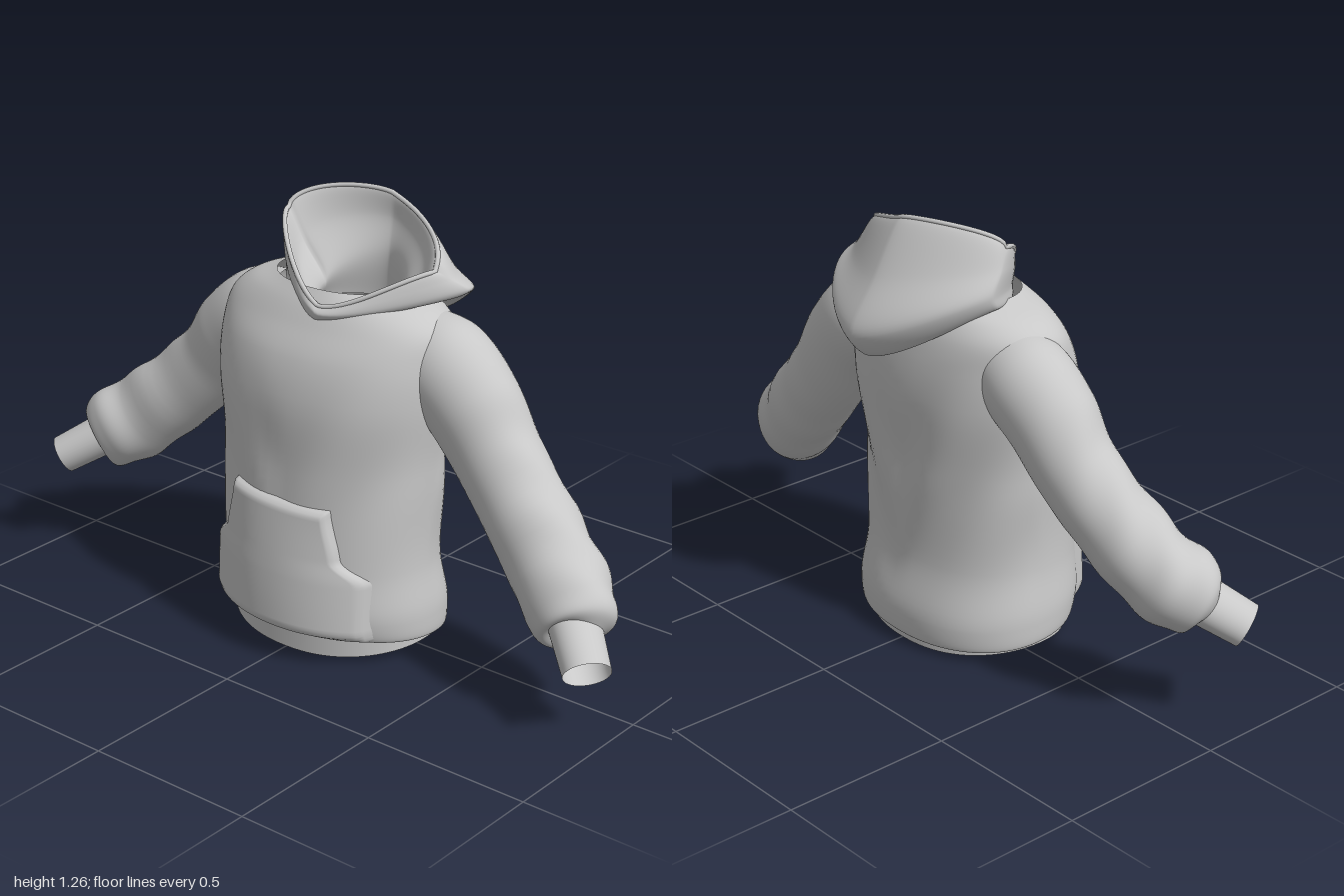
import * as THREE from 'three';

const { lerp, smoothstep } = THREE.MathUtils;
const fabric = new THREE.MeshStandardMaterial({ color: 0xc8c8c8, side: THREE.DoubleSide });
fabric.name = 'grey fabric';

// Indexed surface from rows of points; wrap joins each row into a loop
function surface(rows, wrap) {
  const n = rows[0].length, idx = [];
  for (let j = 0; j < rows.length - 1; j++) {
    for (let i = 0; i < (wrap ? n : n - 1); i++) {
      const k = (i + 1) % n, a = j * n + i, b = j * n + k;
      idx.push(a, b, b + n, a, b + n, a + n);
    }
  }
  const g = new THREE.BufferGeometry().setFromPoints(rows.flat());
  g.setIndex(idx);
  g.computeVertexNormals();
  return g;
}

// Loop of points from a rule taking the sine and cosine of the angle
function loop(rule, n = 80) {
  return Array.from({ length: n }, (_, i) => {
    const t = i / n * Math.PI * 2;
    return rule(Math.sin(t), Math.cos(t));
  });
}

// Smooth skin through closed cross-sections
function loft(rings, steps) {
  const cols = rings[0].map((_, i) => new THREE.CatmullRomCurve3(rings.map(r => r[i])).getPoints(steps));
  return surface(Array.from({ length: steps + 1 }, (_, j) => cols.map(c => c[j])), true);
}

// Push the skin along its normals to make soft folds
function fold(g, depth) {
  const p = g.attributes.position, n = g.attributes.normal;
  const v = new THREE.Vector3(), d = new THREE.Vector3();
  for (let i = 0; i < p.count; i++) {
    v.fromBufferAttribute(p, i);
    d.fromBufferAttribute(n, i);
    v.addScaledVector(d, depth(v));
    p.setXYZ(i, v.x, v.y, v.z);
  }
  g.computeVertexNormals();
  return g;
}

function part(group, name, geometry) {
  const m = new THREE.Mesh(geometry, fabric);
  m.name = name;
  group.add(m);
}

// Signed power: below 1 squares a loop off, above 1 pinches it to a diamond
const power = (v, e) => Math.sign(v) * Math.abs(v) ** e;

// Torso sections from the tucked hem to the neck: height, half width, front z, back z
const body = [
  [0.075, 0.315, 0.25, -0.215], [0.05, 0.335, 0.265, -0.23], [0.12, 0.342, 0.29, -0.24],
  [0.27, 0.328, 0.285, -0.21], [0.55, 0.335, 0.272, -0.217], [0.75, 0.362, 0.265, -0.23],
  [0.87, 0.365, 0.235, -0.222], [0.95, 0.355, 0.19, -0.205], [1.0, 0.3, 0.16, -0.185], [1.04, 0.2, 0.13, -0.165],
];
const bodyX = -0.008, square = 0.92;

// The blouse over the hem hangs lower at the back; lift raises a loop at the sides
function torsoRing([y, half, front, back], tilt, lift = 0) {
  return loop((s, c) => {
    const z = lerp(back, front, (1 + power(c, square)) / 2);
    return new THREE.Vector3(bodyX + half * power(s, square), y + lift * s * s + tilt * z, z);
  });
}

// Depth of the torso front at a point
function frontZ(x, y) {
  let i = 1;
  while (i < body.length - 2 && body[i + 1][0] < y) i++;
  const k = (y - body[i][0]) / (body[i + 1][0] - body[i][0]);
  const [, half, front, back] = body[i].map((v, j) => lerp(v, body[i + 1][j], k));
  const s = Math.min(1, Math.abs((x - bodyX) / half)) ** (1 / square);
  return lerp(back, front, (1 + power(Math.sqrt(1 - s * s), square)) / 2);
}

// Kangaroo pocket: curved hand openings, draped over the torso
function pocketGeometry() {
  const n = 48, rows = [];
  for (let j = 0; j <= n; j++) {
    const v = j / n, y = 0.08 + 0.395 * v, row = [];
    const half = 0.275 - 0.07 * smoothstep(y, 0.26, 0.33) - 0.035 * smoothstep(y, 0.3, 0.475);
    for (let i = 0; i <= n; i++) {
      const u = 2 * i / n - 1, x = bodyX + u * half;
      const edge = Math.min(1, (1 - Math.abs(u)) * 14, v * 16, (1 - v) * 20);
      const bulge = 0.022 * Math.cos(u * 1.5) * Math.sin((1 - v) * 1.95);
      row.push(new THREE.Vector3(x, y - 0.04 * x, frontZ(x, y) - 0.012 + 0.034 * Math.sqrt(edge) + bulge * edge));
    }
    rows.push(row);
  }
  return surface(rows, false);
}

// Arm sections: centre x, y, z and radius
const sleeve = [
  [0.2, 0.9, -0.045, 0.105], [0.31, 0.85, -0.043, 0.142], [0.42, 0.755, -0.04, 0.14], [0.52, 0.62, -0.035, 0.127],
  [0.74, 0.39, 0.015, 0.13], [0.825, 0.315, 0.055, 0.128], [0.868, 0.28, 0.085, 0.105], [0.87, 0.275, 0.09, 0.058],
];
const cuff = [[0.85, 0.295, 0.08, 0.066], [0.956, 0.205, 0.165, 0.06]];

// Limb tube on one side; the right arm is held a little higher and is slimmer
function limb(sections, side, flatten, steps) {
  const right = side < 0;
  const path = sections.map(([x, y, z]) =>
    new THREE.Vector3(side * x, y + (right ? 0.15 * Math.max(0, x - 0.35) : 0), z));
  return loft(sections.map(([, , , r], i) => {
    const t = path[Math.min(i + 1, path.length - 1)].clone().sub(path[Math.max(i - 1, 0)]).normalize();
    const depth = new THREE.Vector3(0, 0, 1).addScaledVector(t, -t.z).normalize();
    const across = depth.clone().cross(t);
    const a = right ? r * 0.95 : r;
    return loop((s, c) => path[i].clone().addScaledVector(across, a * c).addScaledVector(depth, a * flatten * s), 48);
  }), steps);
}

// Hood loops from the neck, out over the rim and back inside:
// centre x, half width, front z, back z, then heights at front, side and back
const hood = [
  [0.01, 0.2, 0.14, -0.2, 0.98, 1.02, 0.96],
  [0.045, 0.28, 0.172, -0.28, 0.97, 1.03, 0.87],
  [0.055, 0.3, 0.183, -0.338, 0.99, 1.06, 0.94],
  [0.05, 0.285, 0.18, -0.26, 1.0, 1.11, 1.09],
  [0.045, 0.255, 0.165, -0.17, 1.01, 1.15, 1.24],
  [0.045, 0.2, 0.152, -0.16, 1.0, 1.08, 1.17],
  [0.055, 0.13, 0.14, -0.135, 0.98, 1.0, 1.08],
  [0.045, 0.14, 0.13, -0.14, 0.94, 0.95, 0.95],
];

// Pinched loop whose left side sags more the higher it stands
function hoodRing([cx, half, front, back, yFront, ySide, yBack]) {
  const rise = yBack > ySide ? 0.8 : 2, sag = 0.3 * Math.max(0, ySide - 1.02);
  return loop((s, c) => new THREE.Vector3(
    cx + half * power(s, 1.35),
    (c > 0 ? lerp(ySide, yFront, c ** 2.5) : lerp(ySide, yBack, (-c) ** rise)) - sag * s,
    lerp(back, front, (1 + power(c, 1.35)) / 2) - 0.02 * s * s));
}

export function createModel() {
  const hoodie = new THREE.Group();
  hoodie.name = 'hoodie';

  // Torso with drag lines fanning from the armpits
  const torsoRings = body.map(s => torsoRing(s, 0.12 * Math.max(0, 1 - s[0] / 0.3)));
  part(hoodie, 'torso', fold(loft(torsoRings, 72), ({ x, y, z }) => {
    const low = Math.max(0, 1 - Math.abs(y - 0.5) / 0.4);
    return low * (z < 0 ? 0.008 : 0.004) * Math.sin(26 * Math.abs(x) - 14 * y);
  }));

  // Ribbed hem, dipping at front and back
  const [, ...hemShape] = body[0];
  part(hoodie, 'hemBand', loft([torsoRing([0, ...hemShape], 0, 0.03), torsoRing([0.1, ...hemShape], 0)], 4));
  part(hoodie, 'frontPocket', pocketGeometry());

  // Sleeves gathered into narrow cuffs
  for (const [name, side] of [['left', 1], ['right', -1]]) {
    part(hoodie, name + 'Sleeve', fold(limb(sleeve, side, 0.93, 72), ({ x, y, z }) => {
      const reach = Math.abs(x), k = smoothstep(reach, 0.4, 0.85);
      return k * 0.006 * Math.sin(24 * reach - 20 * y + 30 * z) * Math.cos(9 * y + 14 * z);
    }));
    part(hoodie, name + 'Cuff', limb(cuff, side, 1.15, 8));
  }

  // Lowered hood with a rolled seam along its rim
  part(hoodie, 'hood', loft(hood.map(hoodRing), 84));
  const rim = new THREE.CatmullRomCurve3(hoodRing(hood[4]), true);
  part(hoodie, 'hoodRim', new THREE.TubeGeometry(rim, 96, 0.007, 8, true));
  return hoodie;
}
